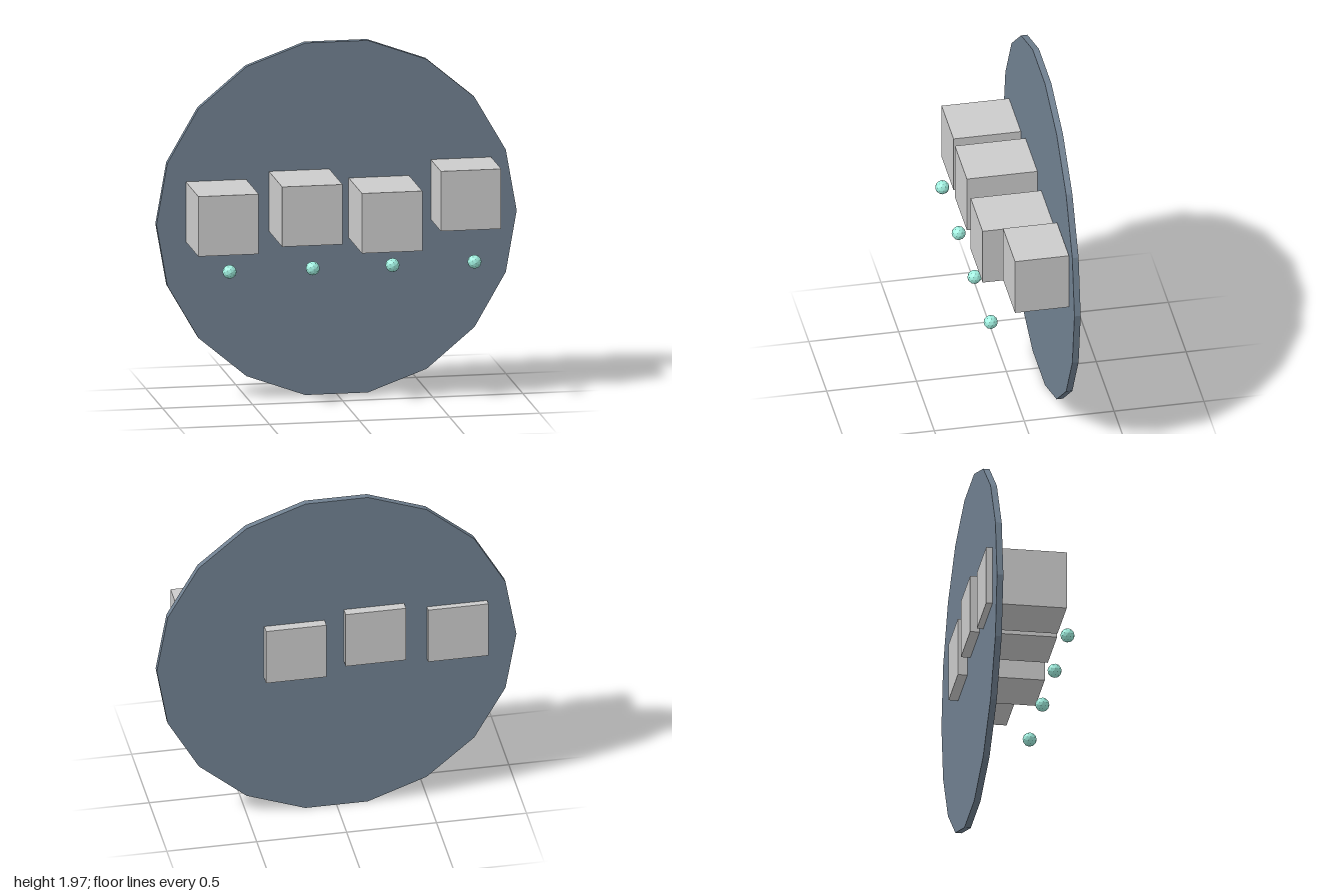
import * as THREE from 'three';

export function createModel() {
  const model = new THREE.Group();
  const slate = new THREE.MeshStandardMaterial({ color: 0x708090, flatShading: true });
  const grey = new THREE.MeshStandardMaterial({ color: 0xcccccc, flatShading: true });
  const aqua = new THREE.MeshStandardMaterial({ color: 0xa0f0e0, flatShading: true });

  const add = (name, geometry, material, x, y, z) => {
    const mesh = new THREE.Mesh(geometry, material);
    mesh.name = name;
    mesh.position.set(x, y, z);
    model.add(mesh);
  };

  // Upright 18-sided disc with corners on the horizontal axis
  const disc = new THREE.CylinderGeometry(1, 1, 0.035, 18);
  disc.rotateY(Math.PI / 2).rotateX(Math.PI / 2);
  add('backDisc', disc, slate, 0, 0.985, -0.198);

  // Blocks set into the disc, each with a small bead in front: x, y, depth
  const blocks = [
    [-0.67, 1.053, 0.445],
    [-0.208, 1.092, 0.48],
    [0.235, 1.037, 0.48],
    [0.69, 1.122, 0.3],
  ];
  const bead = new THREE.IcosahedronGeometry(0.039, 1);
  blocks.forEach(([x, y, depth], i) => {
    add(`block${i + 1}`, new THREE.BoxGeometry(0.335, 0.335, depth), grey, x, y, -0.028);
    add(`bead${i + 1}`, bead, aqua, x, 0.8, 0.224);
  });

  return model;
}
